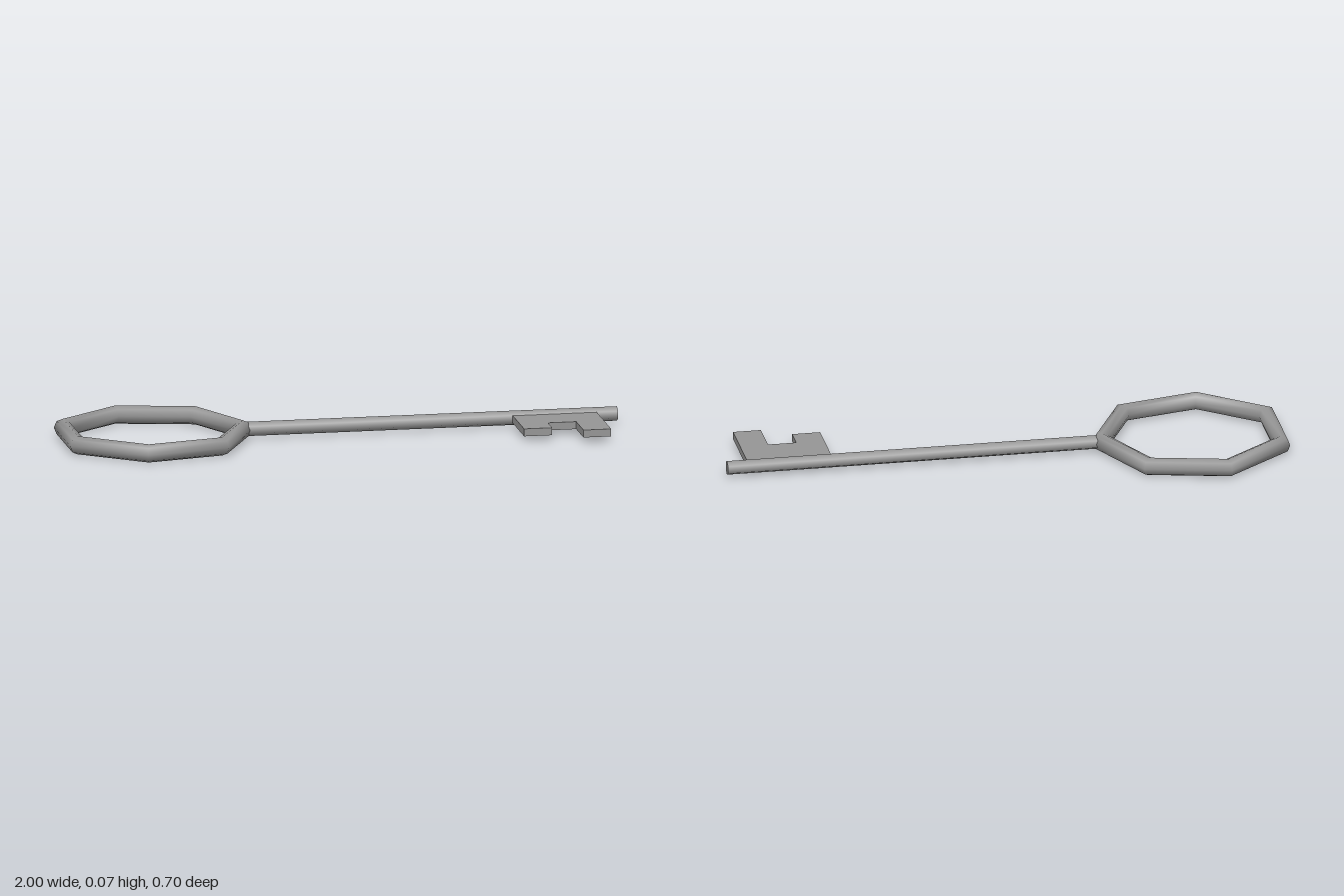
import * as THREE from 'three';

const AXIS_Y = 0.033; // height of the key's mid plane

export function createModel() {
  const key = new THREE.Group();
  key.name = 'key';
  const material = new THREE.MeshStandardMaterial({ color: 0x969696 });
  const add = (name, geometry) => {
    const mesh = new THREE.Mesh(geometry, material);
    mesh.name = name;
    key.add(mesh);
  };

  // Seven-sided ring handle lying flat, one corner towards the shaft
  const bow = new THREE.TorusGeometry(0.327, 0.033, 8, 7);
  bow.rotateX(Math.PI / 2).translate(-0.676, AXIS_Y, 0);
  add('bow', bow);

  // Hexagonal shaft with an edge pointing up
  const start = -0.35, end = 1;
  const shaft = new THREE.CylinderGeometry(0.026, 0.026, end - start, 6);
  shaft.rotateY(Math.PI / 2).rotateZ(-Math.PI / 2);
  shaft.translate((start + end) / 2, AXIS_Y + 0.001, 0);
  add('shaft', shaft);

  // Flat notched bit, outlined in x and z
  const outline = [
    [0.62, 0], [0.923, 0], [0.923, 0.296], [0.823, 0.296],
    [0.823, 0.158], [0.721, 0.158], [0.721, 0.238], [0.62, 0.238],
  ].map(([x, z]) => new THREE.Vector2(x, z));
  const bit = new THREE.ExtrudeGeometry(new THREE.Shape(outline), { depth: 0.027, bevelEnabled: false });
  bit.rotateX(Math.PI / 2).translate(0, AXIS_Y + 0.0135, 0);
  add('bit', bit);

  return key;
}
